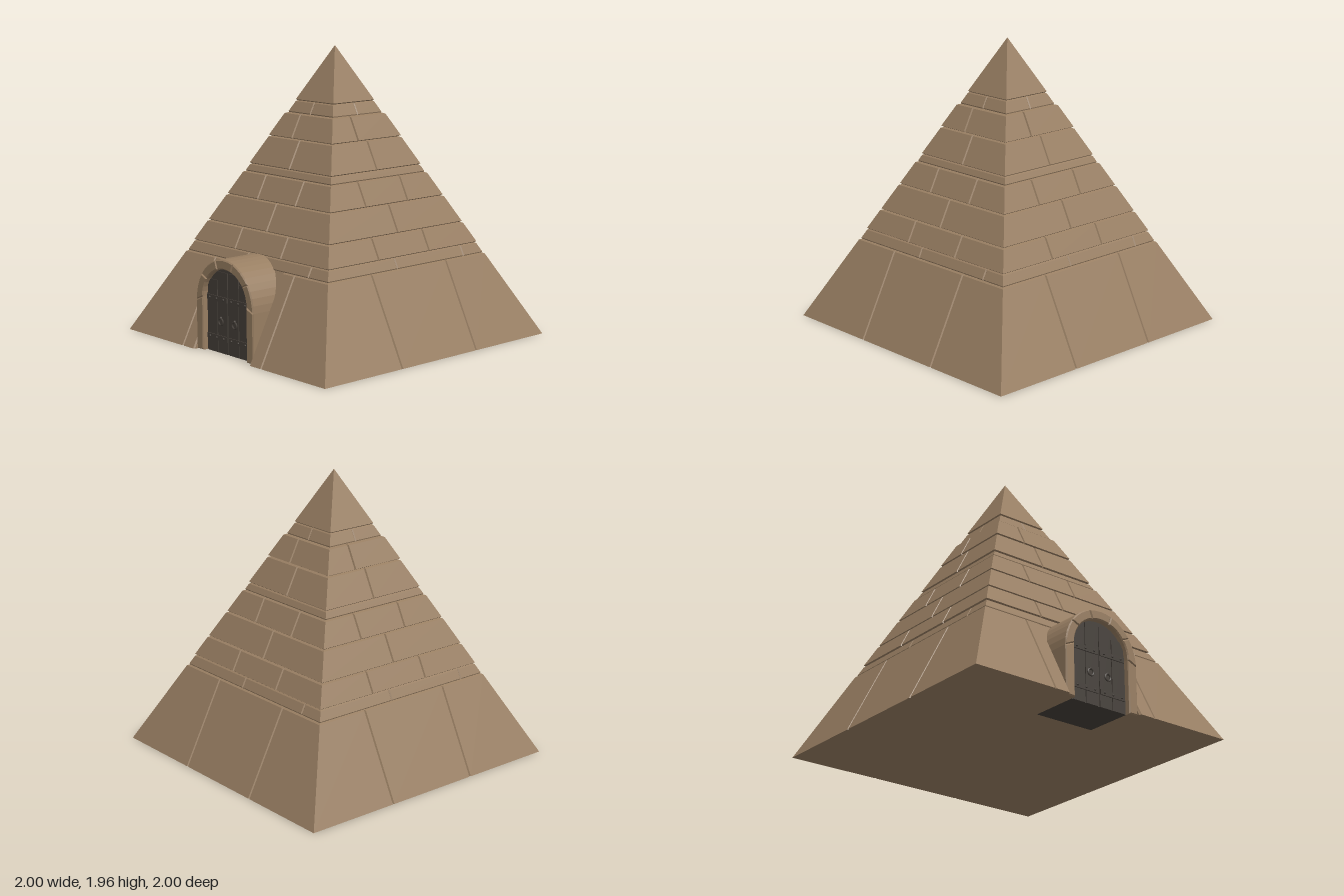
import * as THREE from 'three';
import { mergeGeometries } from 'three/addons/utils/BufferGeometryUtils.js';

const TOP = 1.96, CORE = 0.012, GAP = 0.007;
const half = (y) => Math.max(0, 1 - y / TOP); // half width of the pyramid at height y

function fromTriangles(points) {
  const g = new THREE.BufferGeometry();
  g.setAttribute('position', new THREE.Float32BufferAttribute(points, 3));
  g.computeVertexNormals();
  return g;
}

// One chamfered stone on the front face; u0 / u1 = null means it runs to the corner.
function block(y0, y1, u0, u1, out) {
  const ring = (g, d) => {
    const a = y0 === 0 ? 0 : y0 + g, b = y1 === TOP ? TOP : y1 - g;
    const pt = (y, u, side) => {
      const z = Math.max(0, half(y) + d);
      return [u === null ? side * z : u - side * g, y, z];
    };
    return [pt(a, u0, -1), pt(a, u1, 1), pt(b, u1, 1), pt(b, u0, -1)];
  };
  const o = ring(GAP, out), i = ring(0, -CORE), tri = [];
  const quad = (a, b, c, d) => tri.push(...a, ...b, ...c, ...a, ...c, ...d);
  quad(...o);
  for (let k = 0; k < 4; k++) {
    if ((k === 1 && u1 === null) || (k === 3 && u0 === null)) continue;
    const n = (k + 1) % 4;
    quad(i[k], i[n], o[n], o[k]);
  }
  return fromTriangles(tri);
}

// Solid core with a notch for the doorway
function coreGeometry() {
  const notch = 0.28, back = 0.9;
  const rings = [0, (1 - CORE - back) * TOP, (1 - CORE) * TOP].map((y) => {
    const h = Math.max(0, half(y) - CORE), n = Math.min(notch, h), b = Math.min(back, h);
    return [[-h, h], [-n, h], [-n, b], [n, b], [n, h], [h, h], [h, -h], [-h, -h]].map(([x, z]) => [x, y, z]);
  });
  const tri = [];
  for (let k = 0; k < 8; k++) {
    const n = (k + 1) % 8;
    for (let r = 0; r < 2; r++) {
      const a = rings[r], b = rings[r + 1];
      tri.push(...a[k], ...a[n], ...b[n], ...a[k], ...b[n], ...b[k]);
    }
    tri.push(0, 0, 0, ...rings[0][n], ...rings[0][k]);
  }
  return fromTriangles(tri);
}

export function createModel() {
  const model = new THREE.Group();
  const stone = new THREE.MeshStandardMaterial({ color: 0x987e62 });
  stone.name = 'sandstone';
  const dark = new THREE.MeshStandardMaterial({ color: 0x453f39 });
  dark.name = 'dark door';
  const add = (parent, name, geo, mat, x = 0, y = 0, z = 0) => {
    const m = new THREE.Mesh(geo, mat);
    m.name = name;
    m.position.set(x, y, z);
    parent.add(m);
    return m;
  };

  add(model, 'core', coreGeometry(), stone);

  // Stone courses: bottom, top, offset from the face, joints along each side
  const courses = [
    [0, 0.56, 0, [-0.34, 0.34]],
    [0.56, 0.63, -0.005, [-0.1, 0.52]],
    [0.63, 0.77, 0.002, [-0.24, 0.22]],
    [0.77, 0.95, 0.002, [0]],
    [0.95, 1.11, 0.002, [-0.2, 0.18]],
    [1.11, 1.16, -0.005, []],
    [1.16, 1.35, 0.002, [0]],
    [1.35, 1.51, 0.006, [-0.08]],
    [1.51, 1.59, -0.006, [0]],
    [1.59, TOP, 0, []],
  ];
  courses.forEach(([y0, y1, out, joints], c) => {
    const parts = [];
    for (let side = 0; side < 4; side++) {
      const doorway = c === 0 && side === 0;
      const cuts = [null, ...(doorway ? [-0.4, -0.285, 0.285, 0.4] : joints), null];
      for (let k = 0; k + 1 < cuts.length; k++) {
        if (doorway && k === 2) continue; // opening for the door
        parts.push(block(y0, y1, cuts[k], cuts[k + 1], out).rotateY(side * Math.PI / 2));
      }
    }
    add(model, 'course' + (c + 1), mergeGeometries(parts), stone);
  });

  // Door surround: two jambs and five arch stones, each with bevelled edges
  const entrance = new THREE.Group();
  entrance.name = 'entrance';
  model.add(entrance);
  const bevel = 0.008, zBack = 0.6, zFront = 0.97;
  const outer = (a) => new THREE.Vector2(0.29 * Math.cos(a), 0.33 + 0.305 * Math.sin(a));
  const inner = (a) => new THREE.Vector2(0.22 * Math.cos(a), 0.36 + 0.21 * Math.sin(a));
  const stoneBlock = (name, pts) => add(entrance, name, new THREE.ExtrudeGeometry(new THREE.Shape(pts), {
    depth: zFront - zBack - bevel, bevelEnabled: true, bevelThickness: bevel,
    bevelSize: bevel, bevelOffset: -bevel, bevelSegments: 1,
  }), stone, 0, 0, zBack);
  for (const s of [-1, 1]) {
    const jamb = [[0.22, 0], [0.29, 0], [0.29, 0.33], [0.22, 0.36]].map(([x, y]) => new THREE.Vector2(s * x, y));
    stoneBlock('jamb', jamb);
  }
  const count = 5, steps = 4;
  for (let k = 0; k < count; k++) {
    const angles = Array.from({ length: steps + 1 }, (_, j) => Math.PI * (k + j / steps) / count);
    stoneBlock('archStone', [...angles.map(outer), ...angles.map(inner).reverse()]);
  }

  // Door leaf filling the arch
  const doorZ = 0.93;
  const arc = Array.from({ length: 17 }, (_, j) => inner(Math.PI * j / 16));
  const leaf = new THREE.Shape([new THREE.Vector2(-0.22, 0), new THREE.Vector2(0.22, 0), ...arc]);
  add(entrance, 'door', new THREE.ExtrudeGeometry(leaf, { depth: doorZ - zBack, bevelEnabled: false }), dark, 0, 0, zBack);

  // Raised door boards, straps, studs and ring handles
  for (const s of [-1, 1]) {
    for (const [x, h] of [[0.056, 0.54], [0.16, 0.48]]) {
      add(entrance, 'doorBoard', new THREE.BoxGeometry(0.098, h, 0.006), dark, s * x, h / 2, doorZ + 0.003);
    }
    for (const y of [0.1, 0.36]) {
      add(entrance, 'doorStrap', new THREE.BoxGeometry(0.2, 0.035, 0.008), dark, s * 0.108, y, doorZ + 0.009);
      for (const x of [0.04, 0.11, 0.18]) {
        add(entrance, 'stud', new THREE.SphereGeometry(0.008, 8, 6), dark, s * x, y, doorZ + 0.013);
      }
    }
    add(entrance, 'ringHandle', new THREE.TorusGeometry(0.022, 0.006, 6, 16), dark, s * 0.07, 0.21, doorZ + 0.012);
    add(entrance, 'handleMount', new THREE.SphereGeometry(0.01, 8, 6), dark, s * 0.07, 0.235, doorZ + 0.01);
  }
  return model;
}
